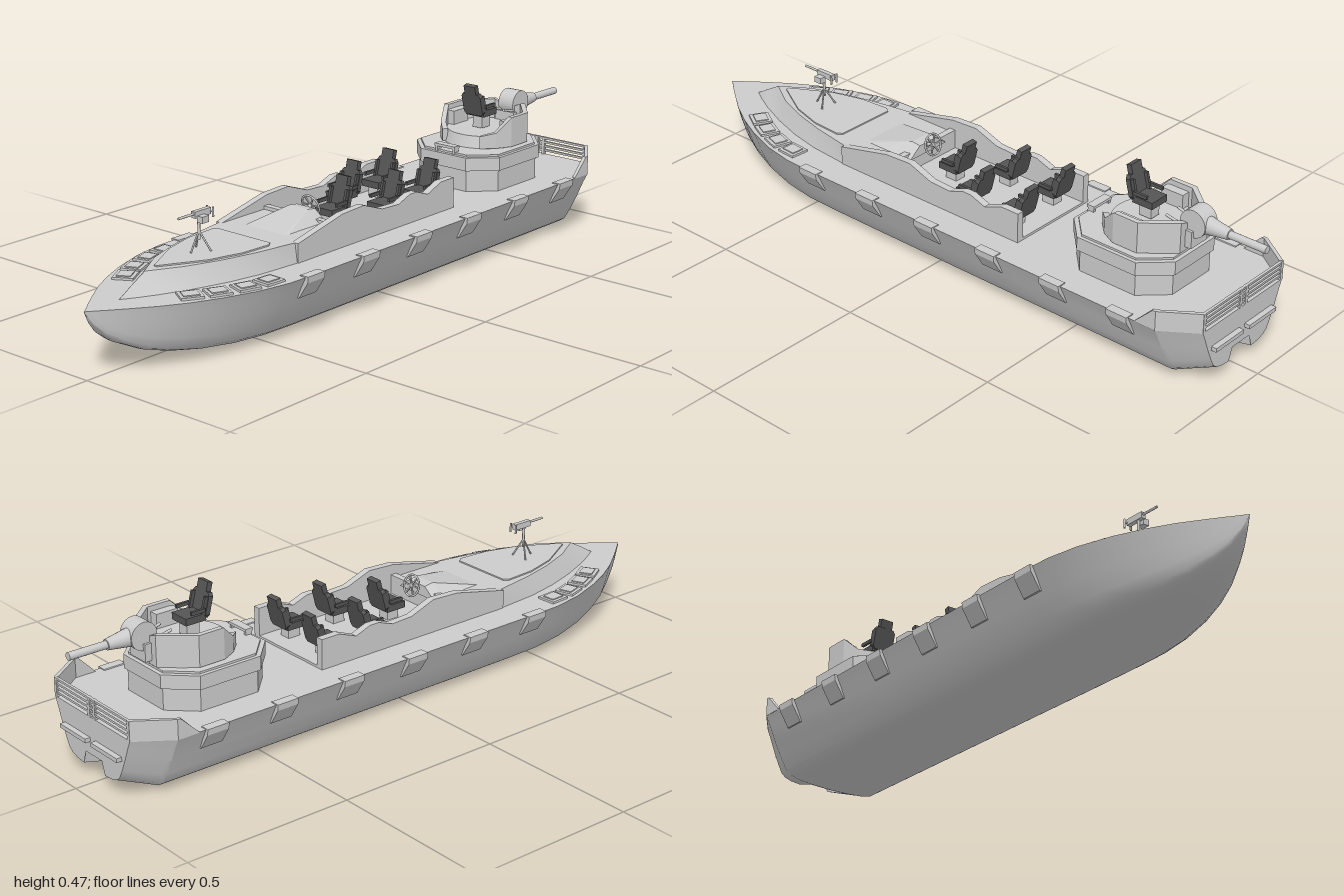
import * as THREE from 'three';
import { toCreasedNormals } from 'three/addons/utils/BufferGeometryUtils.js';

const grey = new THREE.MeshStandardMaterial({ color: 0xcccccc, side: THREE.DoubleSide });
const dark = new THREE.MeshStandardMaterial({ color: 0x555555 });

function add(parent, name, geo, x = 0, y = 0, z = 0, mat = grey) {
  const m = new THREE.Mesh(geo, mat);
  m.name = name;
  m.position.set(x, y, z);
  parent.add(m);
  return m;
}
const box = (w, h, d) => new THREE.BoxGeometry(w, h, d);

// Skin a row of closed rings and close both ends
function loft(rings, crease = 0.55) {
  const n = rings[0].length, last = (rings.length - 1) * n, idx = [];
  for (let i = 0; i < rings.length - 1; i++) {
    for (let j = 0; j < n; j++) {
      const a = i * n + j, b = i * n + (j + 1) % n;
      idx.push(a, a + n, b, b, a + n, b + n);
    }
  }
  for (let j = 1; j < n - 1; j++) idx.push(0, j, j + 1, last, last + j + 1, last + j);
  const g = new THREE.BufferGeometry();
  g.setAttribute('position', new THREE.Float32BufferAttribute(rings.flat(2), 3));
  g.setIndex(idx);
  return toCreasedNormals(g, crease);
}

// Symmetric ring at z: centre top, right half, optional bottom centre, left half
function ringAt(z, topY, half, bottomY) {
  const r = half.map(([x, y]) => [x, y, z]);
  const l = half.map(([x, y]) => [-x, y, z]).reverse();
  return [[0, topY, z], ...r, ...(bottomY === undefined ? [] : [[0, bottomY, z]]), ...l];
}

// Flat symmetric plate from half an outline given as [x, z]
function plate(half, y, h) {
  const pts = [...half, ...half.map(([x, z]) => [-x, z]).reverse()];
  const s = new THREE.Shape(pts.map(p => new THREE.Vector2(...p)));
  return new THREE.ExtrudeGeometry(s, { depth: h, bevelEnabled: false }).rotateX(Math.PI / 2).translate(0, y + h, 0);
}

// Side profile [z, y] given a thickness along x
function profile(pts, x, w) {
  const s = new THREE.Shape(pts.map(p => new THREE.Vector2(...p)));
  return new THREE.ExtrudeGeometry(s, { depth: w, bevelEnabled: false }).rotateY(-Math.PI / 2).translate(x + w, 0, 0);
}

// Standing wall along a path of [outer x, outer z, inner x, inner z, top]
const wall = (path, y0) => loft(path.map(([x, z, u, v, t]) => [[x, y0, z], [x, t, z], [u, t, v], [u, y0, v]]), 0.2);

function rod(parent, name, a, b, r0, r1 = r0, sides = 10) {
  const p = new THREE.Vector3(...a), d = new THREE.Vector3(...b).sub(p);
  const m = add(parent, name, new THREE.CylinderGeometry(r1, r0, d.length(), sides));
  m.position.copy(p).addScaledVector(d, 0.5);
  m.quaternion.setFromUnitVectors(new THREE.Vector3(0, 1, 0), d.normalize());
}

// Seat facing +z, 0.14 tall
function seat(parent, name, x, y, z) {
  const g = new THREE.Group();
  g.name = name;
  g.position.set(x, y, z);
  add(g, 'seatPost', box(0.035, 0.04, 0.04), 0, 0.02, 0.02);
  add(g, 'cushion', box(0.064, 0.02, 0.065), 0, 0.048, 0.02, dark);
  const back = new THREE.Group();
  back.name = 'backrest';
  back.position.set(0, 0.045, -0.008);
  back.rotation.x = -0.25;
  const s = new THREE.Shape([[-0.028, 0], [0.028, 0], [0.035, 0.01], [0.035, 0.06], [0.028, 0.07], [-0.028, 0.07], [-0.035, 0.06], [-0.035, 0.01]]
    .map(p => new THREE.Vector2(...p)));
  add(back, 'backPad', new THREE.ExtrudeGeometry(s, { depth: 0.014, bevelEnabled: false }), 0, 0, -0.012, dark);
  add(back, 'headrest', box(0.042, 0.026, 0.016), 0, 0.083, -0.005, dark);
  for (const k of [-1, 1]) {
    add(back, 'sideBolster', box(0.008, 0.05, 0.012), k * 0.029, 0.034, 0.006, dark);
    add(g, 'armrest', box(0.008, 0.01, 0.045), k * 0.034, 0.07, 0.015, dark);
  }
  g.add(back);
  parent.add(g);
  return g;
}

export function createModel() {
  const boat = new THREE.Group();
  boat.name = 'patrolBoat';
  const D = 0.185;

  // Hull with a notched stern: stations are z, half width, keel height, notch height
  const section = [[0.245, D], [0.23, 0.155], [0.21, 0.11], [0.185, 0.06], [0.165, 0.027], [0.145, 0.014], [0.115, 0.006], [0.07, 0.002]];
  const stations = [[-0.94, 0.175, 0.035, 0.075], [-0.85, 0.238, 0.004, 0.075], [-0.85, 0.238, 0.004, 0], [-0.84, 0.245, 0, 0],
    [-0.3, 0.245, 0, 0], [0.2, 0.245, 0, 0], [0.4, 0.245, 0.001, 0], [0.5, 0.243, 0.003, 0], [0.6, 0.225, 0.007, 0], [0.7, 0.191, 0.016, 0],
    [0.78, 0.154, 0.03, 0], [0.85, 0.113, 0.05, 0], [0.91, 0.07, 0.08, 0], [0.95, 0.04, 0.11, 0], [0.98, 0.016, 0.145, 0], [1, 0.001, 0.18, 0]];
  add(boat, 'hull', loft(stations.map(([z, w, k, notch]) => {
    const half = section.map(([x, y]) => [x * w / 0.245, k + y * (1 - k / D)]);
    const [ex, ey] = half[half.length - 1];
    half.push([ex, notch || ey]);
    return ringAt(z, D, half, notch || k);
  })));

  // Foredeck trunk: z, base half width, top half width, top height
  const trunk = [[0.2, 0.15, 0.146, 0.24], [0.37, 0.148, 0.14, 0.24], [0.5, 0.137, 0.118, 0.24], [0.6, 0.117, 0.093, 0.24],
    [0.7, 0.086, 0.056, 0.24], [0.79, 0.049, 0.001, 0.238], [0.84, 0.024, 0.0005, 0.21], [0.88, 0.001, 0.0003, 0.186]];
  add(boat, 'foredeckTrunk', loft(trunk.map(([z, b, t, y]) => ringAt(z, y, [[t, y], [b, D]], D)), 0.4));
  add(boat, 'foredeckHatch', plate([[0.095, 0.42], [0.106, 0.435], [0.1, 0.53], [0.072, 0.63], [0.005, 0.75]], 0.24, 0.004));

  // Cockpit: side walls, floor, console and wheel
  const side = [[0.37, D], [0.37, 0.24], [0.19, 0.28], [0.1, 0.284], [0.02, 0.255], [-0.05, 0.252], [-0.1, 0.27], [-0.13, 0.27],
    [-0.18, 0.252], [-0.24, 0.275], [-0.3, 0.275], [-0.3, D]];
  for (const x of [-0.151, 0.129]) add(boat, 'cockpitWall', profile(side, x, 0.022));
  add(boat, 'cockpitFloor', box(0.26, 0.008, 0.5), 0, 0.188, -0.05);
  add(boat, 'dashboard', box(0.26, 0.06, 0.02), 0, 0.22, 0.192);
  const hood = [[0.34, 0.084, 0.24, 0.07], [0.2, 0.084, 0.272, 0.034], [0.17, 0.075, 0.268, 0.034]];
  add(boat, 'consoleHood', loft(hood.map(([z, b, y, t]) => ringAt(z, y, [[t, y], [b, 0.236]], 0.236)), 0.2));
  const wheel = new THREE.Group();
  wheel.name = 'steeringWheel';
  wheel.position.set(0, 0.266, 0.15);
  wheel.rotation.x = 0.3;
  add(wheel, 'wheelRim', new THREE.TorusGeometry(0.031, 0.003, 8, 28));
  for (let i = 0; i < 3; i++) add(wheel, 'wheelSpoke', box(0.06, 0.004, 0.004)).rotation.z = i * Math.PI / 3;
  rod(wheel, 'wheelColumn', [0, 0, 0], [0, 0, 0.04], 0.005);
  boat.add(wheel);
  seat(boat, 'helmSeat', 0, D, 0.045);
  for (const x of [-0.078, 0.078]) for (const z of [-0.09, -0.25]) seat(boat, 'crewSeat', x, D, z);

  // Bow gun on a tripod
  const gun = new THREE.Group();
  gun.name = 'bowGun';
  gun.position.set(0, 0.244, 0.59);
  for (let i = 0; i < 3; i++) {
    const a = i * Math.PI * 2 / 3 + Math.PI / 2;
    rod(gun, 'tripodLeg', [0.032 * Math.cos(a), 0, 0.032 * Math.sin(a)], [0, 0.055, 0], 0.0025);
  }
  rod(gun, 'gunPost', [0, 0.03, 0], [0, 0.095, 0], 0.004);
  add(gun, 'gunBody', box(0.014, 0.018, 0.06), 0, 0.102, -0.01);
  add(gun, 'ammoBox', box(0.02, 0.018, 0.025), 0.016, 0.09, 0);
  rod(gun, 'gunBarrel', [0, 0.104, 0.01], [0, 0.104, 0.075], 0.0035);
  for (const x of [-0.011, 0.011]) {
    rod(gun, 'gunGrip', [x, 0.085, -0.043], [x, 0.112, -0.043], 0.003);
    rod(gun, 'gripArm', [x * 0.4, 0.1, -0.035], [x, 0.1, -0.043], 0.002);
  }
  boat.add(gun);

  // Octagonal turret base and round turntable
  const oct = s => [[0.085, -0.44], [0.157, -0.51], [0.157, -0.705], [0.085, -0.78]].map(([x, z]) => [x * s, -0.61 + (z + 0.61) * s]);
  add(boat, 'turretBase', plate(oct(0.95), D, 0.07));
  add(boat, 'turretFlange', plate(oct(1), 0.25, 0.04));
  add(boat, 'turretDeck', plate(oct(0.93), 0.29, 0.006));
  add(boat, 'turntable', new THREE.CylinderGeometry(0.113, 0.125, 0.035, 32), 0, 0.313, -0.64);
  add(boat, 'baseStep', box(0.075, 0.008, 0.025), 0, 0.31, -0.458);
  for (const x of [-0.032, 0.032]) add(boat, 'stepBracket', box(0.008, 0.025, 0.02), x, 0.3, -0.458);

  // Turret shield, gunner seat and stern gun
  for (const k of [-1, 1]) {
    const path = [[0.07, -0.525, 0.062, -0.54, 0.335], [0.105, -0.56, 0.092, -0.568, 0.345], [0.128, -0.605, 0.113, -0.608, 0.388],
      [0.128, -0.685, 0.113, -0.68, 0.388], [0.055, -0.77, 0.048, -0.755, 0.388], [0.02, -0.77, 0.02, -0.755, 0.375]];
    add(boat, 'turretShield', wall(path.map(([x, z, u, v, t]) => [x * k, z, u * k, v, t]), 0.298));
    add(boat, 'shieldLocker', box(0.028, 0.045, 0.07), k * 0.1, 0.35, -0.635);
    rod(boat, 'gunControl', [k * 0.022, 0.36, -0.76], [k * 0.026, 0.375, -0.7], 0.004);
  }
  seat(boat, 'gunnerSeat', 0, 0.336, -0.605).rotation.y = Math.PI;
  add(boat, 'gunMantlet', new THREE.CylinderGeometry(0.04, 0.04, 0.054, 24).rotateZ(Math.PI / 2), 0, 0.38, -0.785);
  add(boat, 'mantletBracket', box(0.07, 0.05, 0.05), 0, 0.335, -0.765);
  rod(boat, 'barrelSleeve', [0, 0.378, -0.8], [0, 0.376, -0.885], 0.028, 0.015, 20);
  rod(boat, 'sternBarrel', [0, 0.376, -0.87], [0, 0.376, -1], 0.011, 0.011, 16);

  // Stern bulwarks, side fenders and bow deck pads
  for (const k of [-1, 1]) {
    const path = [[0.245, -0.775, 0.235, -0.775, D + 0.001], [0.245, -0.83, 0.235, -0.827, 0.24], [0.245, -0.84, 0.235, -0.837, 0.241],
      [0.175, -0.94, 0.167, -0.932, 0.241]];
    add(boat, 'sternBulwark', wall(path.map(([x, z, u, v, t]) => [x * k, z, u * k, v, t]), D - 0.002));
    for (let i = 0; i < 6; i++) {
      const z = 0.41 - i * 0.226;
      const ring = (s, d) => [[0.225, 0.188, s], [0.253, 0.188, s], [0.251, 0.17, s], [0.217 + d, 0.122, s], [0.2, 0.122, s]].map(([x, y, q]) => [x * k, y, z + q]);
      add(boat, 'sideFender', loft([ring(-0.034, 0.003), ring(0.034, 0.003)], 0.2));
    }
    [[0.193, 0.53, 0.06], [0.181, 0.605, 0.3], [0.154, 0.68, 0.43], [0.119, 0.745, 0.53]].forEach(([x, z, a]) => {
      add(boat, 'deckPad', box(0.058, 0.007, 0.062), k * x, D + 0.003, z).rotation.y = -k * a;
      add(boat, 'deckPadTop', box(0.038, 0.003, 0.044), k * x, D + 0.008, z).rotation.y = -k * a;
    });
    add(boat, 'transomStep', box(0.12, 0.012, 0.022), k * 0.073, 0.118, -0.945);
  }

  // Stern rail
  for (const y of [0.198, 0.211, 0.224, 0.237]) add(boat, 'sternRailBar', box(0.345, 0.006, 0.008), 0, y, -0.936);
  for (const x of [-0.17, -0.012, 0.012, 0.17]) add(boat, 'sternRailPost', box(0.01, 0.056, 0.01), x, 0.212, -0.936);
  return boat;
}
